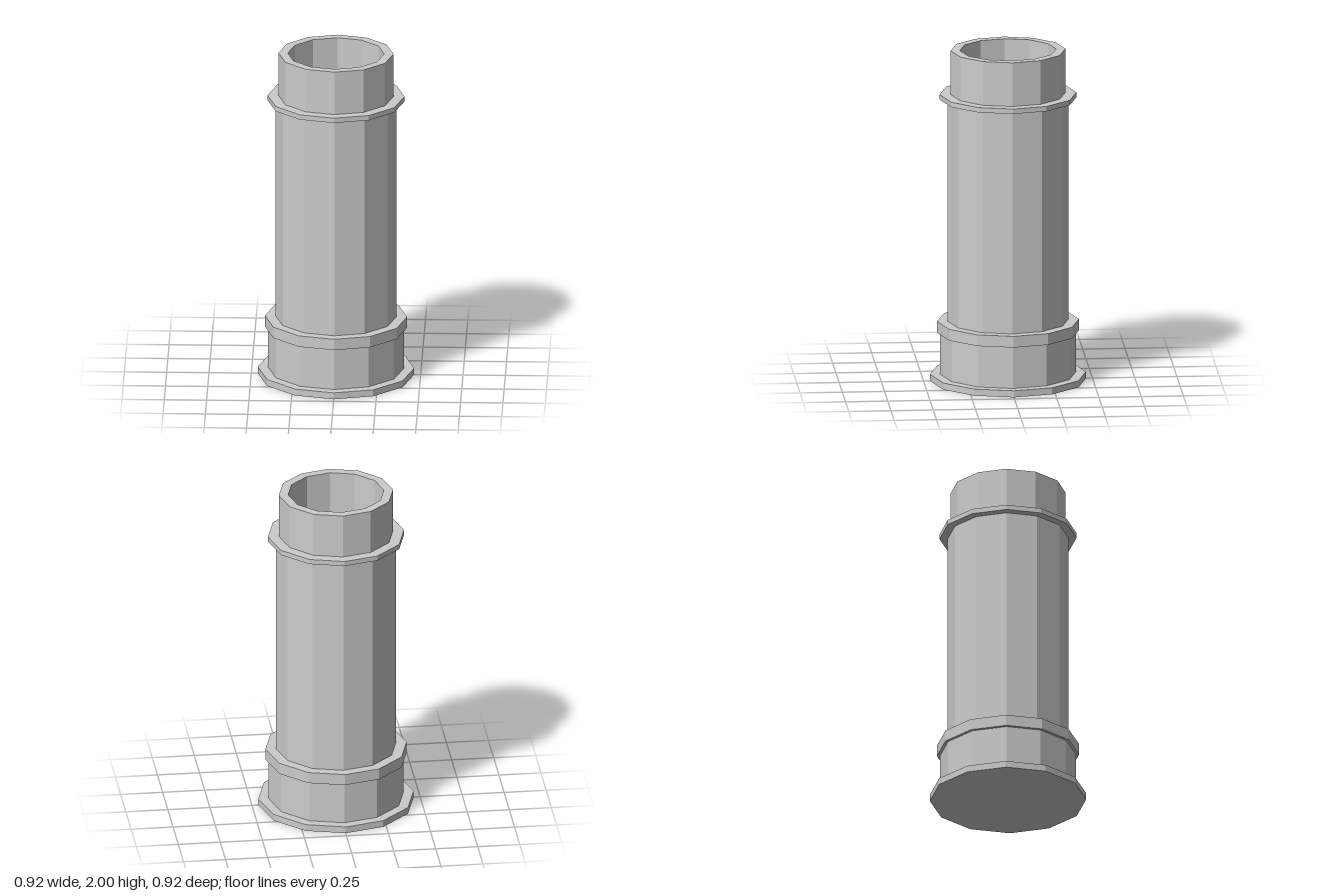
import * as THREE from 'three';

const SIDES = 12;
const BORE = 0.285;
const FLOOR = 0.04;

export function createModel() {
  const group = new THREE.Group();
  group.name = 'hollowColumn';
  const material = new THREE.MeshStandardMaterial({ color: 0xcccccc, flatShading: true });

  // Turns a profile of [radius, height] pairs around the y axis
  const turn = (name, profile) => {
    const points = profile.map(([r, y]) => new THREE.Vector2(r, y));
    const mesh = new THREE.Mesh(new THREE.LatheGeometry(points, SIDES), material);
    mesh.name = name;
    group.add(mesh);
  };

  // Outer band with ledges running in to the bore
  const band = (name, radius, bottom, top) =>
    turn(name, [[BORE, bottom], [radius, bottom], [radius, top], [BORE, top]]);

  // Solid foot plate, closed underneath
  turn('footPlate', [[0, 0], [0.462, 0], [0.462, FLOOR], [BORE, FLOOR]]);

  // Stacked bands from the base to the rim
  band('baseDrum', 0.402, FLOOR, 0.292);
  band('baseCollar', 0.42, 0.292, 0.36);
  band('shaft', 0.357, 0.36, 1.705);
  band('upperRing', 0.405, 1.705, 1.735);
  band('neck', 0.34, 1.735, 2);

  // Inside wall and floor
  turn('bore', [[BORE, 2], [BORE, FLOOR], [0, FLOOR]]);

  return group;
}
